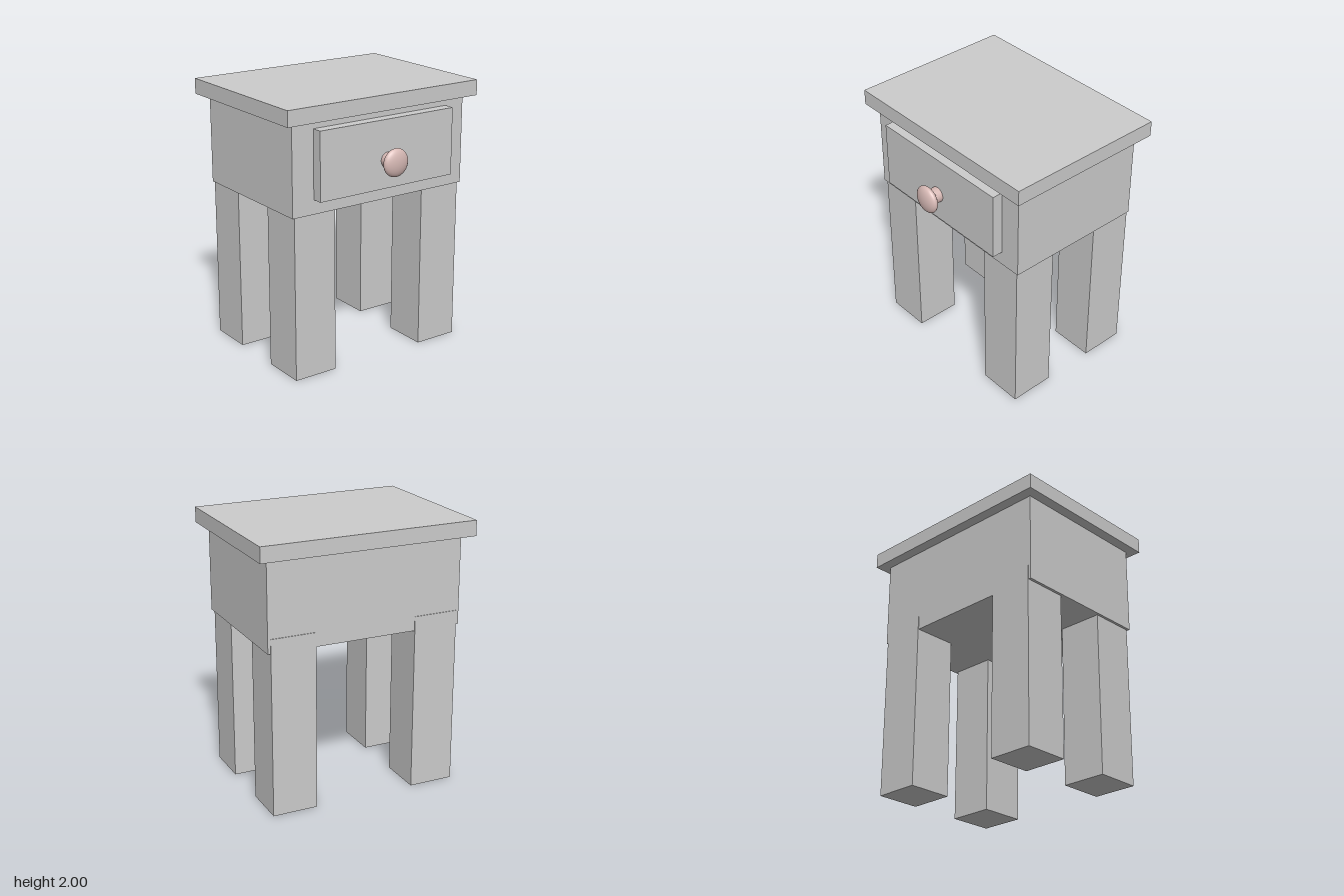
import * as THREE from 'three';

const grey = new THREE.MeshStandardMaterial({ color: 0xcccccc });
const knobMaterial = new THREE.MeshStandardMaterial({ color: 0xd8bab6 });

// Box given by its extents along each axis
function box(name, [x0, x1], [y0, y1], [z0, z1]) {
  const mesh = new THREE.Mesh(new THREE.BoxGeometry(x1 - x0, y1 - y0, z1 - z0), grey);
  mesh.position.set((x0 + x1) / 2, (y0 + y1) / 2, (z0 + z1) / 2);
  mesh.name = name;
  return mesh;
}

// Round knob pointing along +x: short stem and flattened ball
function createKnob() {
  const knob = new THREE.Group();
  knob.name = 'drawerKnob';

  const stem = new THREE.Mesh(new THREE.CylinderGeometry(0.057, 0.057, 0.1, 32), knobMaterial);
  stem.name = 'knobStem';
  stem.rotation.z = -Math.PI / 2;
  stem.position.x = 0.04;

  const head = new THREE.Mesh(new THREE.SphereGeometry(0.103, 40, 24), knobMaterial);
  head.name = 'knobHead';
  head.scale.x = 0.42;
  head.position.x = 0.093;

  knob.add(stem, head);
  knob.position.set(0.55, 1.536, 0);
  return knob;
}

export function createModel() {
  const table = new THREE.Group();
  table.name = 'nightstand';

  // Top board and cabinet
  table.add(box('tableTop', [-0.692, 0.54], [1.885, 2], [-0.82, 0.82]));
  table.add(box('cabinet', [-0.614, 0.471], [1.222, 1.885], [-0.745, 0.745]));

  // Drawer front with its knob
  table.add(box('drawerFront', [0.46, 0.551], [1.328, 1.828], [-0.585, 0.571]));
  table.add(createKnob());

  // Four square legs, the back pair standing just proud of the cabinet
  for (const [depth, xs] of [['back', [-0.619, -0.279]], ['front', [0.12, 0.46]]]) {
    table.add(box(depth + 'LegA', xs, [0, 1.328], [0.386, 0.725]));
    table.add(box(depth + 'LegB', xs, [0, 1.328], [-0.725, -0.386]));
  }
  return table;
}
